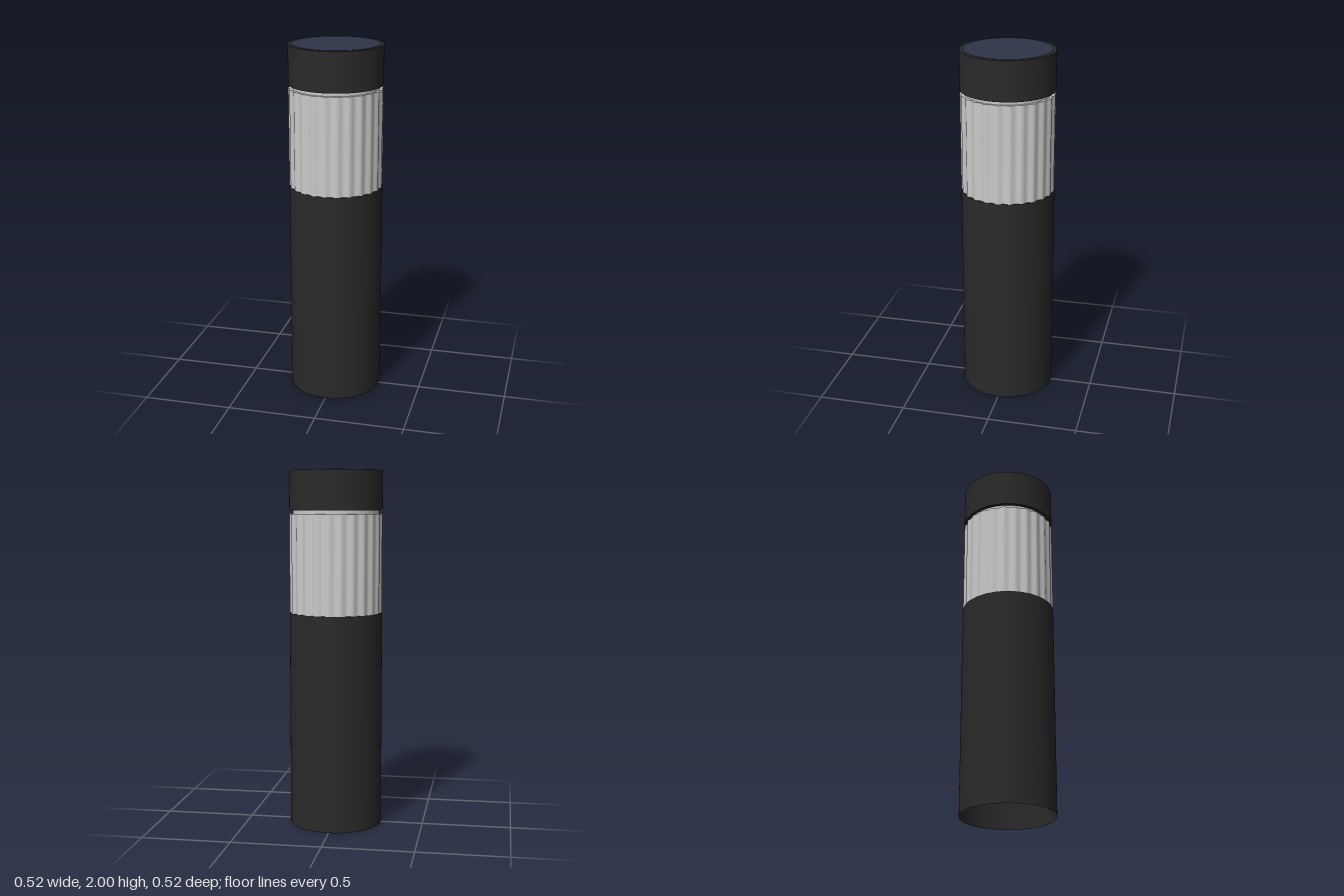
import * as THREE from 'three';

const SIDES = 96;

function material(name, color, side = THREE.FrontSide) {
  const m = new THREE.MeshStandardMaterial({ color, side });
  m.name = name;
  return m;
}

// Upright cylinder between two heights
function cylinder(name, radius, y0, y1, mat, open = false) {
  const geometry = new THREE.CylinderGeometry(radius, radius, y1 - y0, SIDES, 1, open);
  geometry.translate(0, (y0 + y1) / 2, 0);
  const mesh = new THREE.Mesh(geometry, mat);
  mesh.name = name;
  return mesh;
}

// Cylinder whose wall ripples in and out around its axis
function fluted(name, outer, depth, flutes, y0, y1, mat) {
  const geometry = new THREE.CylinderGeometry(1, 1, y1 - y0, flutes * 10);
  const p = geometry.attributes.position;
  for (let i = 0; i < p.count; i++) {
    const x = p.getX(i), z = p.getZ(i);
    const wave = (1 + Math.cos(flutes * Math.atan2(x, z))) / 2;
    const r = outer - depth * (1 - wave);
    p.setX(i, x * r);
    p.setZ(i, z * r);
  }
  geometry.computeVertexNormals();
  geometry.translate(0, (y0 + y1) / 2, 0);
  const mesh = new THREE.Mesh(geometry, mat);
  mesh.name = name;
  return mesh;
}

export function createModel() {
  const black = material('black housing', 0x2a2a2a, THREE.DoubleSide);
  const frosted = material('frosted lens', 0xcacaca);
  const navy = material('solar blue', 0x2d3548);

  const group = new THREE.Group();
  group.name = 'bollardLight';

  // Hollow post, open at the foot, with a shelf under the lens
  group.add(cylinder('post', 0.26, 0, 1.21, black, true));
  const shelf = new THREE.Mesh(new THREE.CircleGeometry(0.26, SIDES), black);
  shelf.name = 'postShelf';
  shelf.rotation.x = -Math.PI / 2;
  shelf.position.y = 1.21;
  group.add(shelf);

  // Ribbed lens and the narrow neck above it
  group.add(fluted('lens', 0.26, 0.009, 24, 1.21, 1.76, frosted));
  group.add(cylinder('neck', 0.24, 1.76, 1.78, frosted, true));

  // Cap with the inlaid solar panel
  group.add(cylinder('cap', 0.26, 1.78, 1.998, black));
  group.add(cylinder('solarPanel', 0.239, 1.996, 2, navy));

  return group;
}
